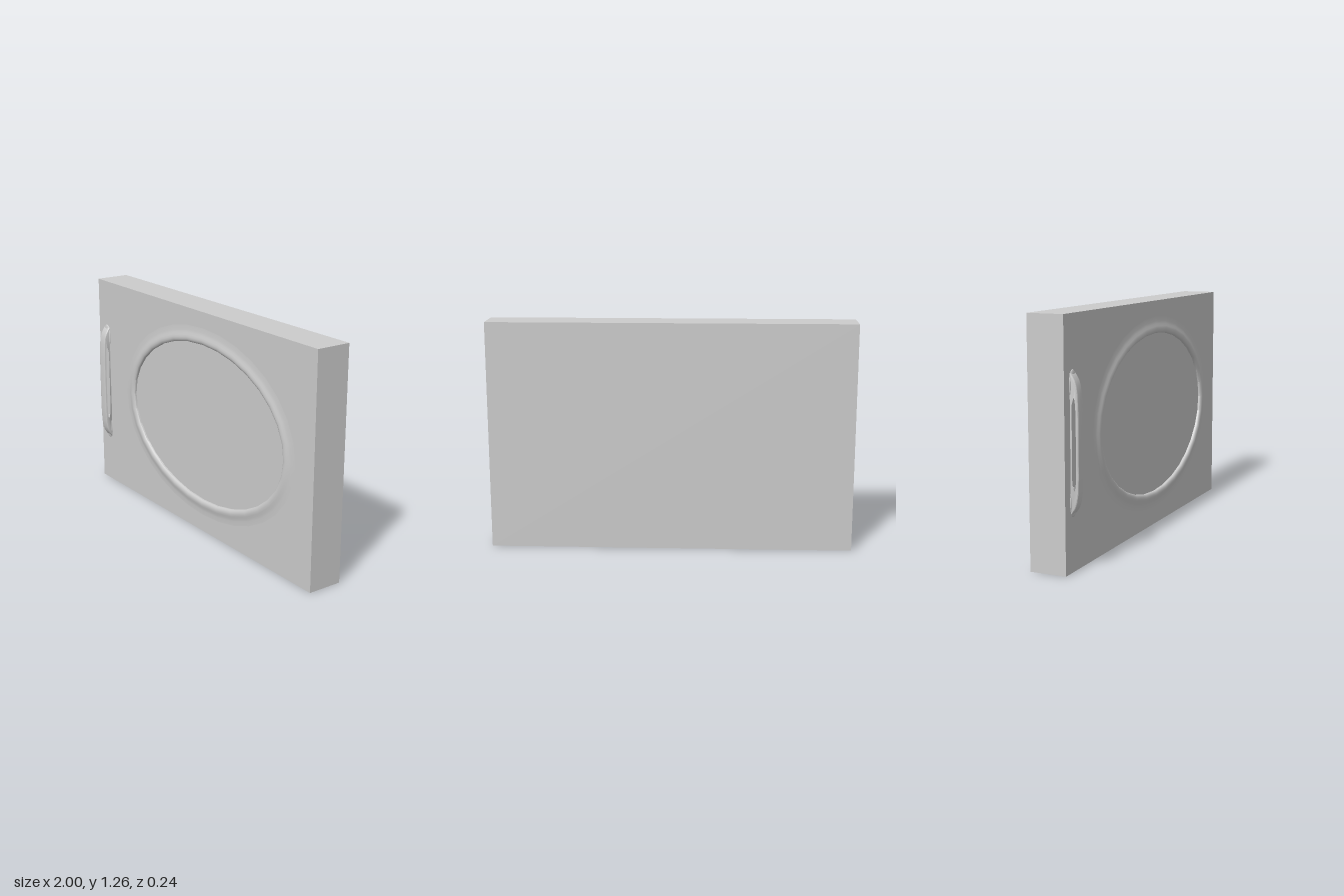
import * as THREE from 'three';
import { toCreasedNormals } from 'three/addons/utils/BufferGeometryUtils.js';

const WIDTH = 2, HEIGHT = 1.26, BACK = -0.12, FRONT = 0.075, FLOOR = 0.066;
const OVAL = { x: 0.08, y: 0.635, rx: 0.69, ry: 0.447, sides: 32 };

// Point on the oval, pushed outwards along its normal
function ovalPoint(angle, offset = 0) {
  const c = Math.cos(angle), s = Math.sin(angle);
  const normal = new THREE.Vector2(c / OVAL.rx, s / OVAL.ry).normalize();
  return new THREE.Vector2(OVAL.x + OVAL.rx * c, OVAL.y + OVAL.ry * s).addScaledVector(normal, offset);
}

const vectors = (pairs) => pairs.map(([a, b]) => new THREE.Vector2(a, b));

export function createModel() {
  const group = new THREE.Group();
  const material = new THREE.MeshStandardMaterial({ color: 0xcccccc });
  const add = (name, geometry) => {
    const mesh = new THREE.Mesh(geometry, material);
    mesh.name = name;
    group.add(mesh);
    return mesh;
  };

  // Solid slab, whose front shows as the floor of the oval
  add('panel', new THREE.BoxGeometry(WIDTH, HEIGHT, FLOOR - BACK))
    .position.set(0, HEIGHT / 2, (FLOOR + BACK) / 2);

  // Front skin with the oval opening
  const skin = new THREE.Shape(vectors([[-1, 0], [1, 0], [1, HEIGHT], [-1, HEIGHT]]));
  const oval = Array.from({ length: OVAL.sides }, (_, i) => ovalPoint((i / OVAL.sides) * Math.PI * 2));
  skin.holes.push(new THREE.Path(oval));
  add('frontSkin', new THREE.ExtrudeGeometry(skin, { depth: FRONT - FLOOR, bevelEnabled: false }))
    .position.z = FLOOR;

  // Raised rim: a turned profile (offset, z) wrapped around the oval
  const profile = [
    [0.09, 0.0751], [0.065, 0.0765], [0.05, 0.079], [0.038, 0.083], [0.026, 0.0855],
    [0.015, 0.0855], [0.006, 0.082], [0, 0.077], [0, FLOOR],
  ];
  const rim = new THREE.LatheGeometry(vectors(profile.map(([o, z]) => [1 + o, z])), OVAL.sides);
  rim.rotateX(Math.PI / 2);
  const p = rim.attributes.position;
  for (let i = 0; i < p.count; i++) {
    const x = p.getX(i), y = p.getY(i);
    const q = ovalPoint(Math.atan2(y, x), Math.hypot(x, y) - 1);
    p.setXY(i, q.x, q.y);
  }
  rim.deleteAttribute('normal');
  rim.deleteAttribute('uv');
  add('ovalRim', toCreasedNormals(rim, 0.9));

  // Bow handle: side outline (z, distance from the middle) with a finger gap
  const mirrored = (half) => vectors([...half, ...half.map(([z, y]) => [z, -y]).reverse()]);
  const bow = new THREE.Shape(mirrored([
    [0.07, 0.35], [0.079, 0.342], [0.088, 0.33], [0.1, 0.31], [0.108, 0.285], [0.114, 0.245], [0.118, 0.16],
  ].reverse()).reverse());
  bow.holes.push(new THREE.Path(mirrored([
    [0.08, 0.19], [0.088, 0.22], [0.096, 0.233], [0.102, 0.225], [0.107, 0.19], [0.109, 0.12],
  ])));
  const bevel = 0.004, handleWidth = 0.056;
  const handle = new THREE.ExtrudeGeometry(bow, {
    depth: handleWidth - 4 * bevel, bevelThickness: 2 * bevel, bevelSize: bevel, bevelOffset: -bevel, bevelSegments: 3,
  });
  handle.translate(0, 0, -(handleWidth / 2 - 2 * bevel)).rotateY(-Math.PI / 2);
  add('handle', toCreasedNormals(handle, 0.9)).position.set(-0.915, 0.635, 0);

  // Soft feet where the handle meets the panel
  for (const side of [-1, 1]) {
    const foot = add(side > 0 ? 'upperHandleFoot' : 'lowerHandleFoot', new THREE.SphereGeometry(1, 20, 12));
    foot.scale.set(0.036, 0.075, 0.011);
    foot.position.set(-0.915, 0.635 + side * 0.285, FRONT);
  }
  return group;
}
